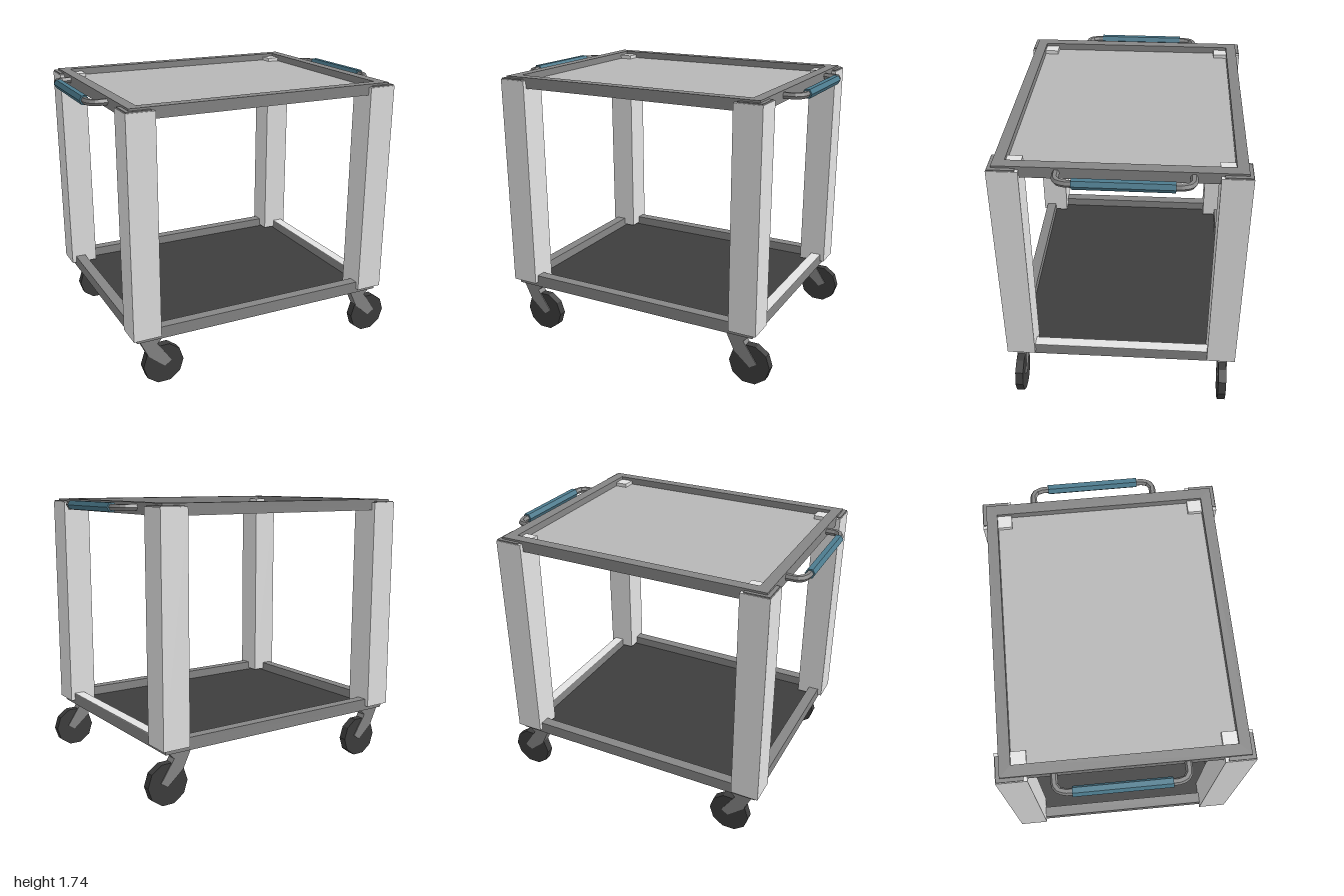
import * as THREE from 'three';

const mat = (name, color) => {
  const m = new THREE.MeshStandardMaterial({ color });
  m.name = name;
  m.flatShading = true;
  return m;
};

export function createModel() {
  const group = new THREE.Group();
  const legMat = mat('light grey', 0xe3e3e3);
  const frameMat = mat('mid grey', 0x868686);
  const panelMat = mat('panel grey', 0xb6b6b6);
  const darkMat = mat('charcoal', 0x3d3d3d);
  const gripMat = mat('teal', 0x4c7b8e);

  const add = (name, geo, material, x = 0, y = 0, z = 0) => {
    const m = new THREE.Mesh(geo, material);
    m.name = name;
    m.position.set(x, y, z);
    group.add(m);
    return m;
  };
  // box given by its extents
  const box = (name, material, x0, x1, y0, y1, z0, z1) =>
    add(name, new THREE.BoxGeometry(Math.abs(x1 - x0), y1 - y0, Math.abs(z1 - z0)), material,
      (x0 + x1) / 2, (y0 + y1) / 2, (z0 + z1) / 2);

  // rectangular rim around each shelf
  const rect = (path, x, z) => {
    path.moveTo(-x, -z);
    path.lineTo(x, -z);
    path.lineTo(x, z);
    path.lineTo(-x, z);
    path.closePath();
    return path;
  };
  const rim = rect(new THREE.Shape(), 0.863, 0.703);
  rim.holes.push(rect(new THREE.Path(), 0.795, 0.637));
  const frame = (name, y0, h) => {
    const geo = new THREE.ExtrudeGeometry(rim, { depth: h, bevelEnabled: false });
    geo.rotateX(-Math.PI / 2);
    add(name, geo, frameMat, 0, y0, 0);
  };
  frame('topFrame', 1.67, 0.068);
  frame('bottomFrame', 0.315, 0.075);

  // shelf panels with differently coloured undersides
  box('topPanel', panelMat, -0.797, 0.797, 1.674, 1.694, -0.639, 0.639);
  box('topUnderside', legMat, -0.861, 0.861, 1.668, 1.674, -0.701, 0.701);
  box('bottomPanel', darkMat, -0.797, 0.797, 0.318, 0.33, -0.639, 0.639);
  box('bottomUnderside', frameMat, -0.861, 0.861, 0.312, 0.318, -0.701, 0.701);

  // light strip along the top of one lower rail
  box('railStrip', legMat, 0.795, 0.863, 0.388, 0.392, -0.637, 0.637);

  // caster fork outline, relative to the wheel centre
  const forkShape = new THREE.Shape([
    [-0.155, 0.185], [-0.1, 0.07], [0.005, -0.02], [0.05, 0.01],
    [-0.04, 0.145], [0, 0.185],
  ].map(([x, y]) => new THREE.Vector2(x, y)));
  const forkGeo = new THREE.ExtrudeGeometry(forkShape, { depth: 0.062, bevelEnabled: false });
  forkGeo.translate(0, 0, -0.031);
  const wheelGeo = new THREE.CylinderGeometry(0.132, 0.132, 0.05, 10, 1, false, Math.PI / 10);
  wheelGeo.rotateX(Math.PI / 2);

  // legs, corner caps and casters
  for (const sx of [-1, 1]) {
    for (const sz of [-1, 1]) {
      box('leg', legMat, sx * 0.714, sx * 0.89, 0.342, 1.718, sz * 0.55, sz * 0.728);
      box('cornerCapSide', frameMat, sx * 0.8, sx * 0.886, 1.71, 1.726, sz * 0.57, sz * 0.724);
      box('cornerCapEnd', frameMat, sx * 0.735, sx * 0.8, 1.71, 1.726, sz * 0.645, sz * 0.724);
      const cx = sx < 0 ? -0.687 : 0.837;
      add('wheel', wheelGeo, darkMat, cx, 0.126, sz * 0.657);
      add('casterFork', forkGeo, frameMat, cx, 0.13, sz * 0.657);
    }
  }

  // bent side handles with coloured grips
  for (const sx of [-1, 1]) {
    const v = (x, z) => new THREE.Vector3(sx * x, 1.708, z);
    const path = new THREE.CurvePath();
    const pts = [v(0.85, -0.405), v(0.925, -0.405), v(0.955, -0.385), v(0.968, -0.345),
      v(0.968, 0.285), v(0.955, 0.325), v(0.925, 0.345), v(0.85, 0.345)];
    for (let i = 1; i < pts.length; i++) path.add(new THREE.LineCurve3(pts[i - 1], pts[i]));
    add('handleRod', new THREE.TubeGeometry(path, 60, 0.021, 6, false), frameMat);
    const grip = new THREE.CylinderGeometry(0.031, 0.031, 0.56, 6, 1, false, Math.PI / 6);
    grip.rotateX(Math.PI / 2);
    add('handleGrip', grip, gripMat, sx * 0.968, 1.708, -0.03);
  }

  return group;
}
